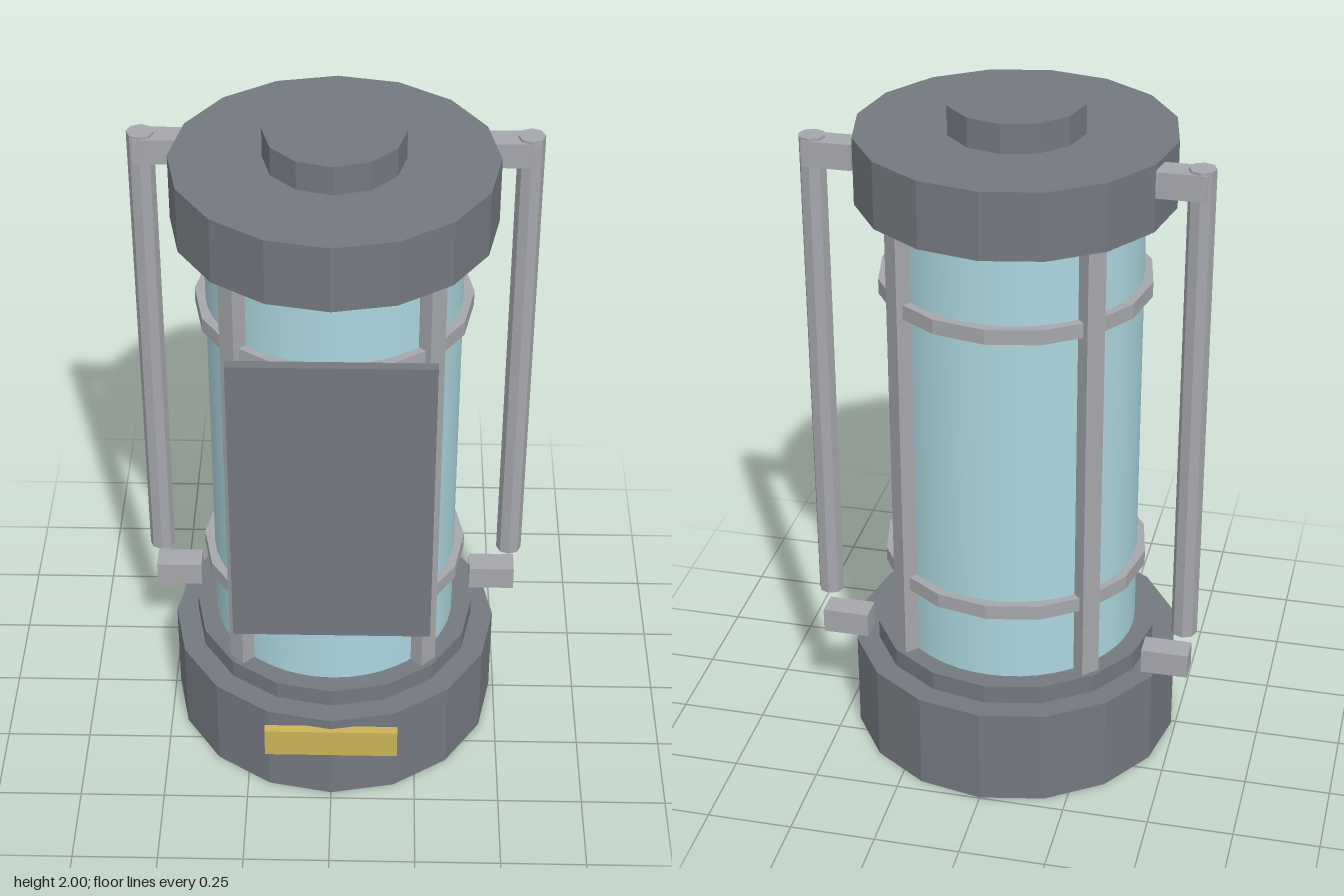
import * as THREE from 'three';

export function createModel() {
  const model = new THREE.Group();
  model.name = 'lantern';

  const material = (name, color, flatShading = true) => {
    const m = new THREE.MeshStandardMaterial({ color, flatShading });
    m.name = name;
    return m;
  };
  const darkMetal = material('dark metal', 0x747980);
  const lightMetal = material('light metal', 0xa5a7ac);
  const glass = material('pale blue glass', 0xacd6df, false);
  const brass = material('brass', 0xcbb356);

  const add = (name, geometry, mat, x = 0, y = 0, z = 0) => {
    const mesh = new THREE.Mesh(geometry, mat);
    mesh.name = name;
    mesh.position.set(x, y, z);
    model.add(mesh);
    return mesh;
  };
  // Upright drum given by its bottom and top heights
  const drum = (name, radius, y0, y1, sides, mat, x = 0, z = 0) =>
    add(name, new THREE.CylinderGeometry(radius, radius, y1 - y0, sides), mat, x, (y0 + y1) / 2, z);
  const box = (name, w, h, d, mat, x, y, z) =>
    add(name, new THREE.BoxGeometry(w, h, d), mat, x, y, z);

  // Base, collar, glass body, cap and knob
  drum('base', 0.487, 0, 0.295, 16, darkMetal);
  drum('collar', 0.42, 0.295, 0.352, 16, darkMetal);
  drum('glassBody', 0.36, 0.352, 1.72, 48, glass);
  drum('cap', 0.45, 1.72, 1.915, 16, darkMetal);
  drum('knob', 0.195, 1.915, 2, 12, darkMetal);

  // Cage posts on the diagonals
  for (let i = 0; i < 4; i++) {
    const a = Math.PI / 4 + (i * Math.PI) / 2;
    const post = box('cagePost', 0.057, 1.37, 0.047, lightMetal,
      0.38 * Math.sin(a), 1.036, 0.38 * Math.cos(a));
    post.rotation.y = a;
  }

  // Square-section cage rings
  const section = [[0.35, -0.022], [0.39, -0.022], [0.39, 0.022], [0.35, 0.022], [0.35, -0.022]]
    .map(([r, y]) => new THREE.Vector2(r, y));
  const ringGeometry = new THREE.LatheGeometry(section, 16);
  for (const y of [0.588, 1.468]) add('cageRing', ringGeometry, lightMetal, 0, y);

  // Front panel and name plate
  box('frontPanel', 0.57, 0.95, 0.03, darkMetal, 0, 1.027, 0.38);
  box('namePlate', 0.39, 0.093, 0.027, brass, 0, 0.217, 0.487);

  // Side rods with upper and lower brackets
  for (const side of [-1, 1]) {
    drum('sideRod', 0.038, 0.445, 1.905, 8, lightMetal, side * 0.536, -0.145);
    for (const y of [0.343, 1.86])
      box('rodBracket', 0.138, 0.075, 0.075, lightMetal, side * 0.486, y, -0.145);
  }

  // Centre the depth
  model.children.forEach((part) => { part.position.z -= 0.01; });
  return model;
}
